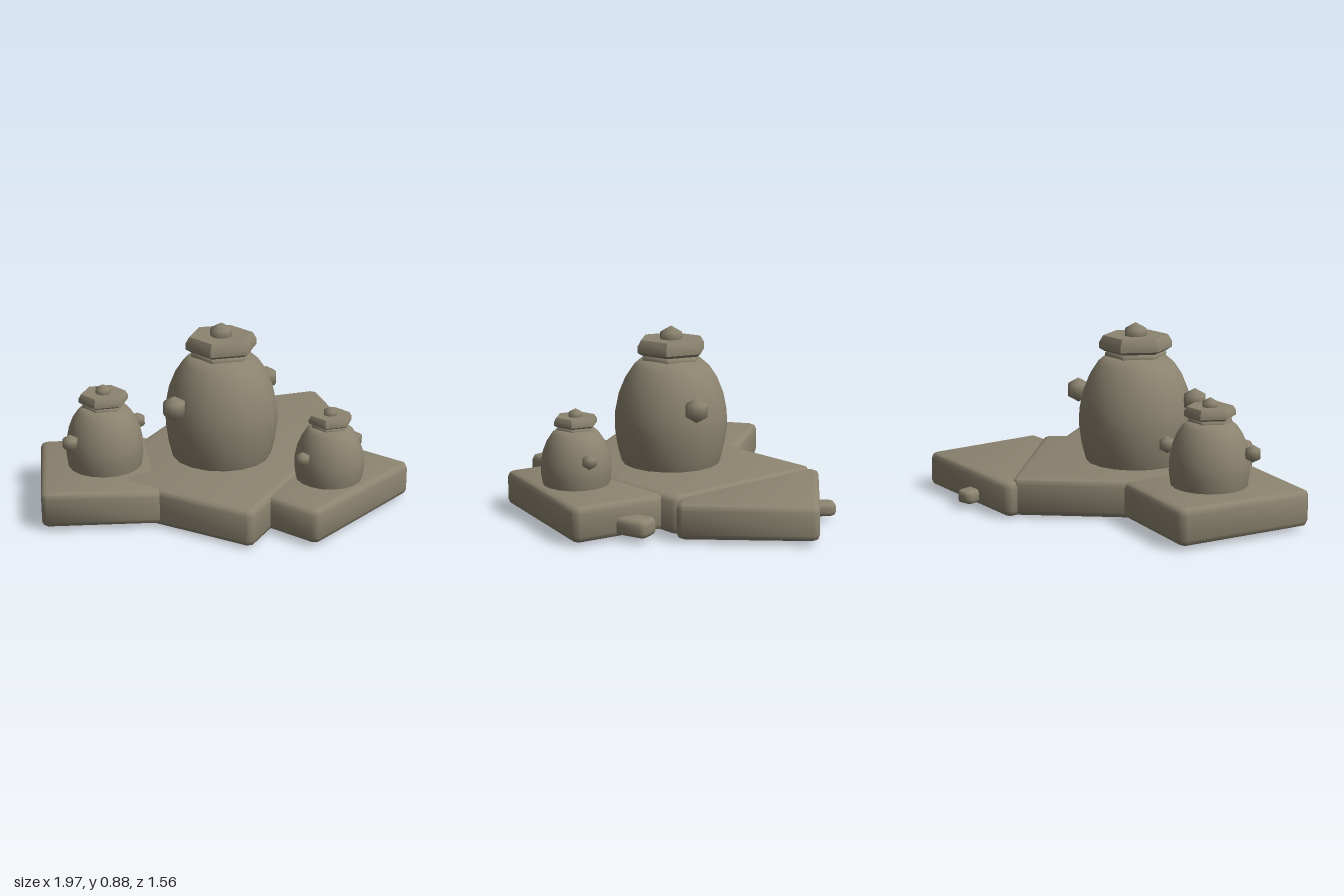
import * as THREE from 'three';
import { toCreasedNormals } from 'three/addons/utils/BufferGeometryUtils.js';

const stone = new THREE.MeshStandardMaterial({ color: 0x8c8470 });
stone.name = 'warm grey stone';

function addMesh(parent, name, geometry, x = 0, y = 0, z = 0) {
  const mesh = new THREE.Mesh(geometry, stone);
  mesh.name = name;
  mesh.position.set(x, y, z);
  parent.add(mesh);
  return mesh;
}

// Bevelled slab from plan corners [x, z], with clipped corners and softened edges
function slabGeometry(corners, height, bevel = 0.028, clip = 0.025) {
  const pts = [];
  const p = corners.map(([x, z]) => new THREE.Vector2(x, -z));
  p.forEach((c, i) => {
    for (const other of [p[(i + p.length - 1) % p.length], p[(i + 1) % p.length]]) {
      pts.push(c.clone().add(other.clone().sub(c).setLength(clip)));
    }
  });
  const g = new THREE.ExtrudeGeometry(new THREE.Shape(pts), {
    depth: height - 2 * bevel, bevelEnabled: true, bevelThickness: bevel,
    bevelSize: bevel, bevelOffset: -bevel, bevelSegments: 2,
  });
  g.rotateX(-Math.PI / 2).translate(0, bevel, 0);
  return toCreasedNormals(g, 0.85);
}

const lathe = (profile, sides) =>
  new THREE.LatheGeometry(profile.map(([r, y]) => new THREE.Vector2(r, y)), sides);

// Pot-bellied jar with a hexagonal lid, a knob and two side knobs
function makeJar(name, x, y, z, scale) {
  const jar = new THREE.Group();
  jar.name = name;
  addMesh(jar, 'body', lathe([
    [0, -0.02], [0.235, -0.02], [0.25, 0.01], [0.27, 0.09], [0.282, 0.18], [0.28, 0.26],
    [0.262, 0.35], [0.23, 0.43], [0.19, 0.49], [0.15, 0.525], [0, 0.54],
  ], 18));
  addMesh(jar, 'neck', toCreasedNormals(lathe([
    [0.135, 0.48], [0.152, 0.515], [0.152, 0.54], [0.135, 0.555], [0.135, 0.58],
  ], 6), 0.9));
  addMesh(jar, 'lid', toCreasedNormals(lathe([
    [0, 0.55], [0.155, 0.55], [0.18, 0.565], [0.18, 0.595], [0.16, 0.628], [0.145, 0.628], [0, 0.622],
  ], 6), 0.9));
  const knob = new THREE.SphereGeometry(0.062, 10, 3);
  addMesh(jar, 'topKnob', knob, 0, 0.628, 0);
  for (const side of [-1, 1]) {
    addMesh(jar, side > 0 ? 'leftKnob' : 'rightKnob', knob, side * 0.315, 0.325, 0);
  }
  // hidden stubs join the side knobs to the body
  const stub = new THREE.CylinderGeometry(0.02, 0.02, 0.6, 6).rotateZ(Math.PI / 2);
  addMesh(jar, 'knobPin', stub, 0, 0.325, 0);
  jar.position.set(x, y, z);
  jar.scale.setScalar(scale);
  return jar;
}

export function createModel() {
  const model = new THREE.Group();
  model.name = 'jarsOnSlabs';

  // Overlapping paving slabs
  addMesh(model, 'centreSlab', slabGeometry(
    [[-0.42, 0.59], [0.62, 0.22], [0.36, -0.63], [-0.68, -0.27]], 0.185), 0, 0.008, 0);
  addMesh(model, 'rearRightSlab', slabGeometry(
    [[-1.0, -0.24], [-0.55, 0.13], [-0.14, -0.46], [-0.58, -0.79]], 0.175), 0, 0.018, 0);
  addMesh(model, 'frontSlab', slabGeometry(
    [[-0.19, 0.785], [0.585, 0.7], [0.52, 0.19], [-0.26, 0.25]], 0.17), 0, 0.015, 0);
  const tilted = addMesh(model, 'leftSlab', slabGeometry(
    [[0.06, -0.09], [0.7, 0.25], [1.0, -0.33], [0.36, -0.67]], 0.17), 0, 0, 0);
  tilted.rotation.z = 0.02;

  // Small stone pegs poking out from under the slabs
  const frontPeg = addMesh(model, 'frontPeg', slabGeometry(
    [[-0.12, 0.06], [0.09, 0.06], [0.09, -0.06], [-0.12, -0.06]], 0.085, 0.022, 0.02), 0.57, 0.027, 0.405);
  frontPeg.rotation.y = 0.64;
  const rearPeg = addMesh(model, 'rearPeg', slabGeometry(
    [[-0.08, 0.048], [0.08, 0.048], [0.08, -0.048], [-0.08, -0.048]], 0.065, 0.018, 0.02), 0.625, 0.027, -0.525);
  rearPeg.rotation.y = 1.3;

  // Jars
  model.add(makeJar('largeJar', -0.02, 0.19, -0.03, 1));
  model.add(makeJar('rearJar', -0.53, 0.14, -0.33, 0.68));
  model.add(makeJar('frontJar', 0.16, 0.135, 0.54, 0.6));
  return model;
}
